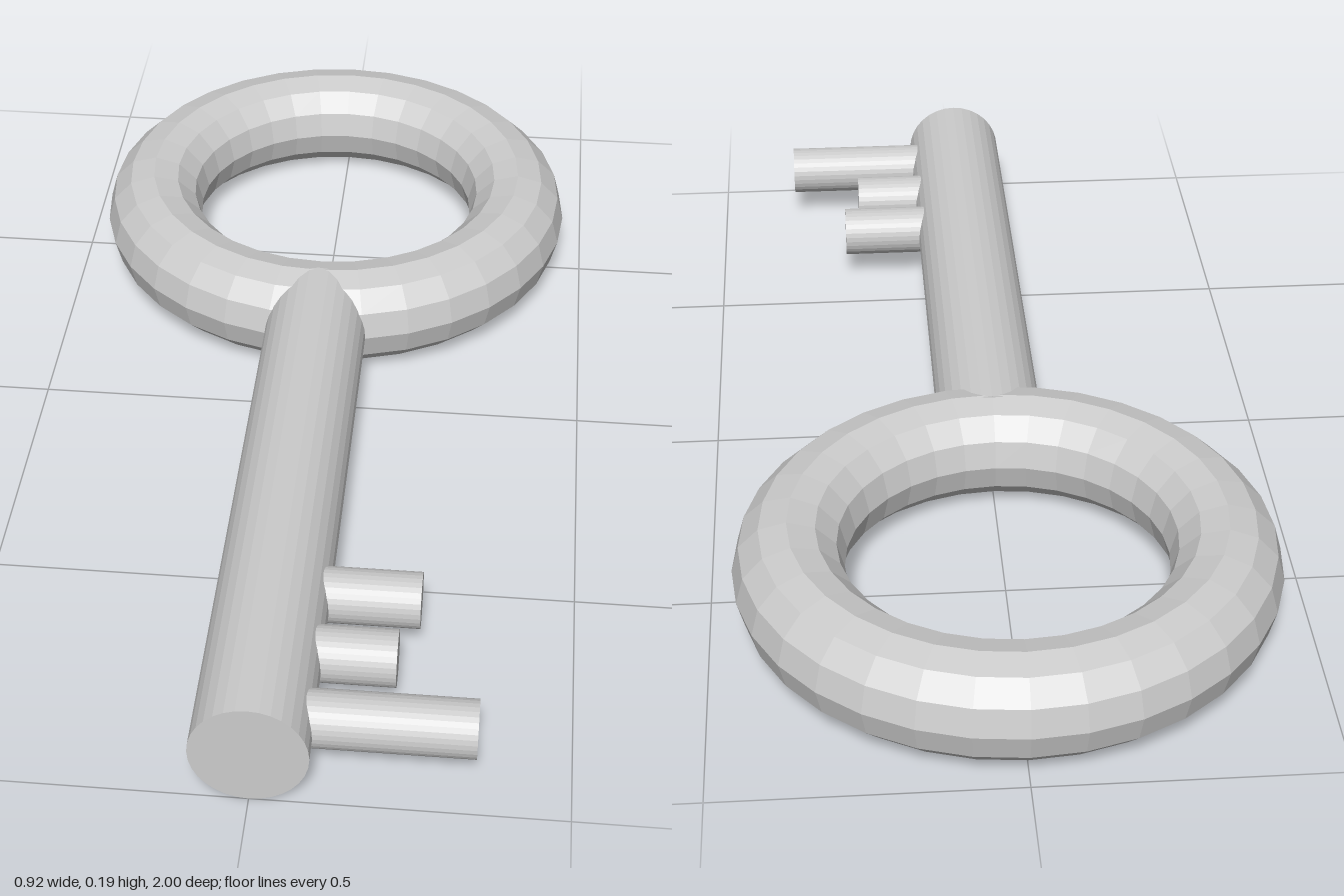
import * as THREE from 'three';

const material = new THREE.MeshStandardMaterial({ color: 0xcccccc, flatShading: true });
const R = 0.094; // shaft and ring thickness radius
const Y = 0.095; // height of the key's centre plane

function addPart(group, name, geometry, x, z) {
  const mesh = new THREE.Mesh(geometry, material);
  mesh.name = name;
  mesh.position.set(x, Y, z);
  group.add(mesh);
  return mesh;
}

export function createModel() {
  const key = new THREE.Group();
  key.name = 'key';

  // Ring handle lying flat
  const ring = new THREE.TorusGeometry(0.366, R, 12, 32).rotateX(Math.PI / 2);
  addPart(key, 'ringHandle', ring, 0, -0.54);

  // Round shaft, its back end buried in the ring
  const back = -0.18, front = 1;
  const shaft = new THREE.CylinderGeometry(Y, Y, front - back, 32).rotateX(Math.PI / 2);
  addPart(key, 'shaft', shaft, 0, (front + back) / 2);

  // Three peg teeth on the left side: [z, outer end x]
  const teeth = new THREE.Group();
  teeth.name = 'teeth';
  key.add(teeth);
  for (const [z, end] of [[0.91, 0.35], [0.765, 0.215], [0.625, 0.245]]) {
    const peg = new THREE.CylinderGeometry(0.047, 0.047, end, 32).rotateZ(-Math.PI / 2);
    addPart(teeth, 'tooth', peg, end / 2, z);
  }
  return key;
}
